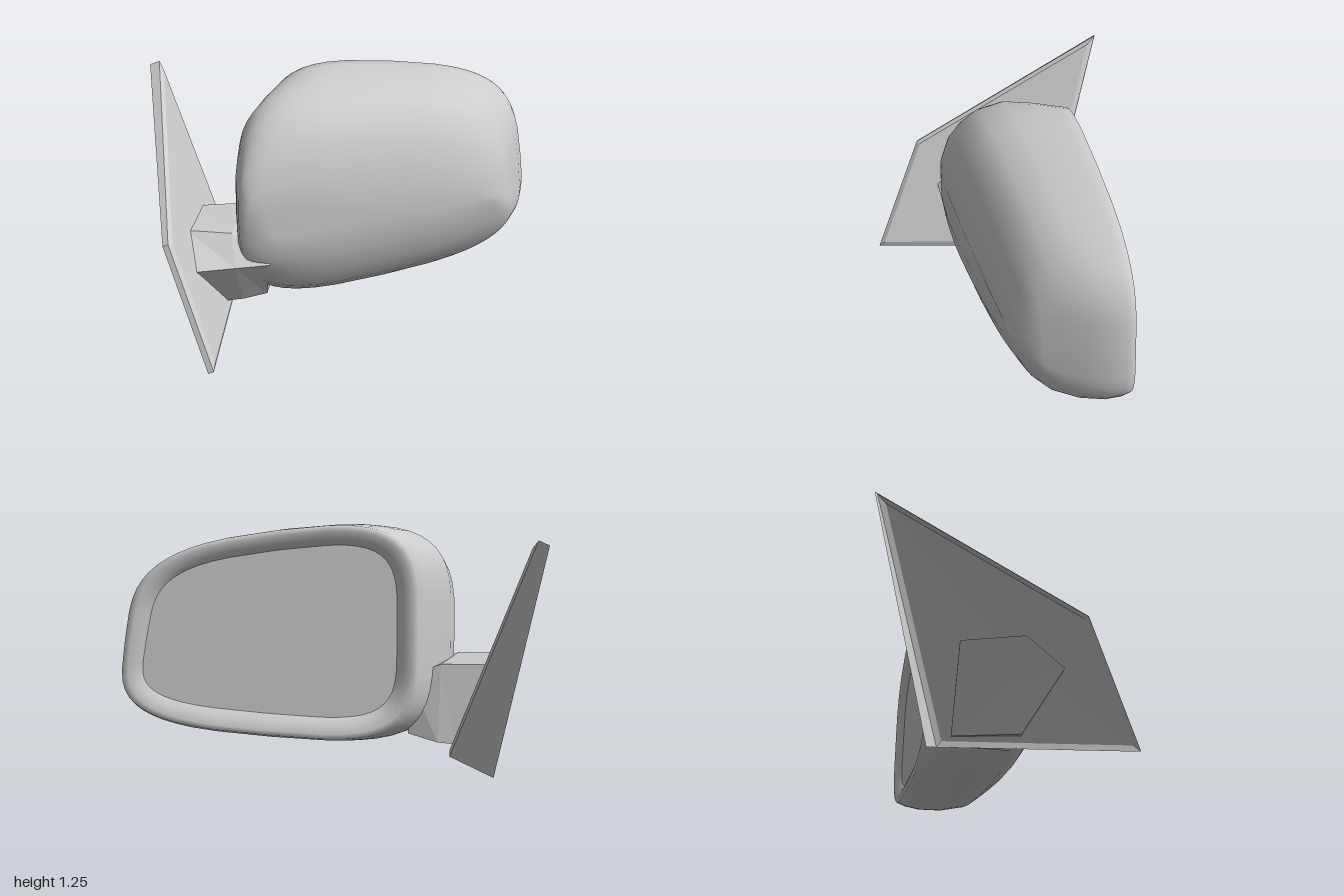
import * as THREE from 'three';

// Skin a list of equal-length closed rings; optional fans close the ends
function loft(rings, { capStart = false, capEnd = false } = {}) {
  const n = rings[0].length;
  const pts = rings.flat();
  const index = [];
  for (let i = 0; i < rings.length - 1; i++) {
    for (let j = 0; j < n; j++) {
      const k = (j + 1) % n;
      const a = i * n + j, b = i * n + k, c = a + n, d = b + n;
      index.push(a, b, d, a, d, c);
    }
  }
  const cap = (ring, start, flip) => {
    const centre = ring.reduce((s, p) => s.add(p), new THREE.Vector3()).divideScalar(n);
    const m = pts.push(centre) - 1;
    for (let j = 0; j < n; j++) {
      const a = start + j, b = start + (j + 1) % n;
      index.push(m, flip ? b : a, flip ? a : b);
    }
  };
  if (capStart) cap(rings[0], 0, true);
  if (capEnd) cap(rings[rings.length - 1], (rings.length - 1) * n, false);
  const geo = new THREE.BufferGeometry().setFromPoints(pts);
  geo.setIndex(index);
  geo.computeVertexNormals();
  return geo;
}

function part(name, geo, options = {}) {
  const mesh = new THREE.Mesh(geo, new THREE.MeshStandardMaterial({ color: 0xcccccc, ...options }));
  mesh.name = name;
  return mesh;
}

// Housing outline: rounded quad whose top and bottom edges slope along its length
const topEdge = u => 1.205 - 0.12 * u - 0.09 * u * u;
const bottomEdge = u => 0.20 + 0.11 * u + 0.04 * u * u;
const depth = u => 0.56 - 0.11 * u - 0.06 * u * u;

function housingRing([f, left, right, topOff, botOff, power]) {
  const ring = [], segments = 48;
  const curve = v => Math.sign(v) * Math.abs(v) ** (2 / power);
  for (let i = 0; i < segments; i++) {
    const a = (i / segments) * Math.PI * 2;
    const s = (curve(Math.cos(a)) + 1) / 2, t = curve(Math.sin(a));
    const u = left + (right - left) * s - 0.06 * t * s;
    const lo = bottomEdge(u) + botOff, hi = topEdge(u) + topOff;
    const y = lo + (hi - lo) * (t + 1) / 2;
    const w = f * depth(u);
    // turn the housing's own frame (u along, w forward) into place
    ring.push(new THREE.Vector3(0.3 + 0.959 * u + 0.284 * w, y, -0.51 - 0.284 * u + 0.959 * w));
  }
  return ring;
}

export function createModel() {
  const group = new THREE.Group();
  group.name = 'wingMirror';

  // Housing shell: depth fraction, left, right, top offset, bottom offset, squareness
  const glassRow = [0.08, -0.60, 0.61, -0.10, 0.10, 4.5];
  const rows = [
    glassRow,
    [0.03, -0.63, 0.64, -0.07, 0.07, 4.3],
    [0, -0.67, 0.68, -0.025, 0.025, 4],
    [0.01, -0.70, 0.71, 0, 0, 4],
    [0.10, -0.74, 0.71, -0.005, -0.02, 4],
    [0.25, -0.81, 0.695, -0.015, -0.04, 4],
    [0.47, -0.90, 0.645, -0.04, -0.05, 4],
    [0.67, -0.935, 0.575, -0.09, -0.04, 3.8],
    [0.80, -0.945, 0.535, -0.16, 0.02, 3.6],
    [0.90, -0.945, 0.49, -0.26, 0.12, 3.5],
    [0.97, -0.91, 0.42, -0.40, 0.24, 3.4],
    [1.0, -0.80, 0.30, -0.55, 0.36, 3.2],
  ];
  group.add(part('housing', loft(rows.map(housingRing), { capEnd: true })));

  // Reflecting glass, recessed inside the rim
  const glassRing = housingRing(glassRow);
  group.add(part('glass', loft([glassRing, glassRing], { capStart: true })));

  // Arm joining the mounting plate to the housing
  const armSections = [
    [[-0.71, 0.52, -0.11], [-0.728, 0.52, 0.20], [-0.675, 0.37, 0.37], [-0.56, 0.10, 0.16], [-0.537, 0.115, -0.17]],
    [[-0.46, 0.52, -0.16], [-0.50, 0.51, 0.20], [-0.47, 0.37, 0.315], [-0.46, 0.10, 0.13], [-0.45, 0.125, -0.19]],
    [[-0.30, 0.46, -0.18], [-0.30, 0.42, 0.20], [-0.30, 0.37, 0.27], [-0.34, 0.11, 0.08], [-0.30, 0.16, -0.18]],
  ];
  const armRings = armSections.map(s => s.map(p => new THREE.Vector3(...p)));
  group.add(part('arm', loft(armRings, { capStart: true, capEnd: true }),
    { flatShading: true, side: THREE.DoubleSide }));

  // Mounting plate: tilted four-cornered panel, bevelled edge, hollow flanged back
  const normal = new THREE.Vector3(0.92, 0.38, 0.05).normalize();
  const edge = [[-0.54, 0, 0.70], [-0.52, 0.07, -0.24], [-0.95, 1.19, -0.48], [-0.77, 0.58, 0.49]]
    .map(p => new THREE.Vector3(...p));
  const flange = [0.03, 0.24, 0.055, 0.03];
  const middle = new THREE.Vector3(-0.695, 0.46, 0.118);
  const back = edge.map((p, i) => p.clone().addScaledVector(normal, -flange[i]));
  const face = edge.map(p => p.clone().lerp(middle, 0.06).addScaledVector(normal, 0.015));
  group.add(part('mountingPlate', loft([back, edge, face], { capEnd: true }),
    { flatShading: true, side: THREE.DoubleSide }));

  return group;
}
